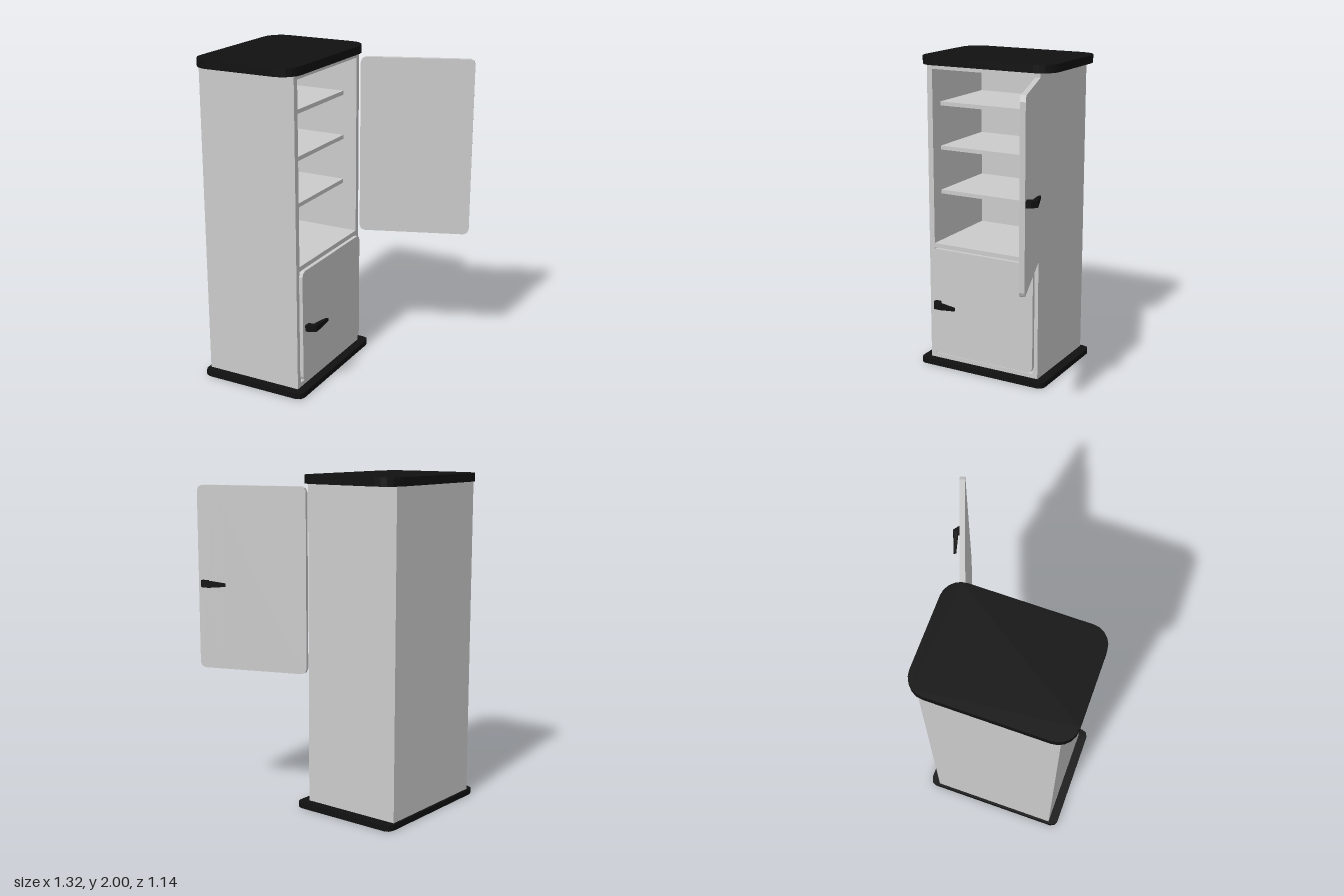
import * as THREE from 'three';

const grey = new THREE.MeshStandardMaterial({ color: 0xcccccc });
const light = new THREE.MeshStandardMaterial({ color: 0xe6e6e6 });
const black = new THREE.MeshStandardMaterial({ color: 0x111111 });

// Corner points of a rectangle whose corners are cut by n segments of radius r
function roundedRect(x0, y0, x1, y1, r, n) {
  const corners = [[x1 - r, y1 - r], [x0 + r, y1 - r], [x0 + r, y0 + r], [x1 - r, y0 + r]];
  return corners.flatMap(([cx, cy], q) => Array.from({ length: n + 1 }, (_, i) => {
    const a = (q + i / n) * Math.PI / 2;
    return new THREE.Vector2(cx + r * Math.cos(a), cy + r * Math.sin(a));
  }));
}

function extrude(points, depth, hole) {
  const shape = new THREE.Shape(points);
  if (hole) shape.holes.push(new THREE.Path(hole));
  return new THREE.ExtrudeGeometry(shape, { depth, bevelEnabled: false });
}

function add(parent, name, geometry, material) {
  const mesh = new THREE.Mesh(geometry, material);
  mesh.name = name;
  parent.add(mesh);
  return mesh;
}

// Box given by its minimum and maximum corners
function box(parent, name, [x0, y0, z0], [x1, y1, z1]) {
  const mesh = add(parent, name, new THREE.BoxGeometry(x1 - x0, y1 - y0, z1 - z0), grey);
  mesh.position.set((x0 + x1) / 2, (y0 + y1) / 2, (z0 + z1) / 2);
}

// Horizontal plate with rounded corners
function slab(parent, name, x0, z0, x1, z1, r, n, bottom, top) {
  const g = extrude(roundedRect(x0, z0, x1, z1, r, n), top - bottom);
  g.rotateX(Math.PI / 2);
  add(parent, name, g, black).position.y = top;
}

// Lever handle: a bent profile extruded vertically, thinner towards its tip
function handleGeometry() {
  const profile = [[0, 0], [0, 0.028], [-0.024, 0.064], [-0.07, 0.063], [-0.174, 0.061],
    [-0.17, 0.046], [-0.07, 0.037], [-0.045, 0.035], [-0.04, 0]];
  const g = extrude(profile.map(([s, d]) => new THREE.Vector2(s, d)), 0.038);
  g.translate(0, 0, -0.019);
  g.rotateX(-Math.PI / 2);
  const p = g.attributes.position;
  for (let i = 0; i < p.count; i++) if (p.getX(i) < -0.1) p.setY(i, p.getY(i) * 0.5);
  g.computeVertexNormals();
  return g;
}

// Door hinged at its local origin; local -z is the outer face
function door(name, width, height, [left, right, vertical], handleY) {
  const group = new THREE.Group();
  group.name = name;
  const inner = [left, vertical, width - right, height - vertical];
  const hole = roundedRect(...inner, 0.035, 2);
  add(group, name + 'Frame', extrude(roundedRect(0, 0, width, height, 0.032, 2), 0.031, hole), grey);
  add(group, name + 'Panel', extrude(roundedRect(...inner, 0.035, 2), 0.031), light);
  add(group, name + 'Handle', handleGeometry(), black).position.set(width - 0.026, handleY, 0);
  return group;
}

export function createModel() {
  const model = new THREE.Group();
  model.name = 'cabinet';

  // Top and base plates
  slab(model, 'topPlate', -0.66, -0.358, 0.012, 0.567, 0.115, 5, 1.95, 2);
  slab(model, 'basePlate', -0.655, -0.342, 0.045, 0.555, 0.04, 2, 0, 0.035);

  // Hollow body, open towards +x
  const back = -0.64, front = -0.01, zBack = -0.28, zFront = 0.5, zIn0 = -0.247, zIn1 = 0.463;
  box(model, 'frontWall', [back, 0.03, zIn1], [front, 1.955, zFront]);
  box(model, 'rearWall', [back, 0.03, zBack], [front, 1.955, zIn0]);
  box(model, 'innerWall', [back, 0.03, zIn0], [back + 0.03, 1.955, zIn1]);
  box(model, 'floor', [back + 0.03, 0.03, zIn0], [front, 0.063, zIn1]);
  box(model, 'ceiling', [back + 0.03, 1.925, zIn0], [front, 1.955, zIn1]);
  box(model, 'divider', [back + 0.03, 0.785, zIn0], [front, 0.815, zIn1]);

  // Shelves, set back from the opening
  for (const y of [1.122, 1.407, 1.687]) {
    box(model, 'shelf', [back + 0.03, y, zIn0], [front - 0.09, y + 0.025, zIn1]);
  }

  // Upper door swung open, lower door closed
  const upper = door('upperDoor', 0.689, 1.11, [0.07, 0.097, 0.07], 0.522);
  upper.position.set(0, 0.82, -0.29);
  upper.rotation.y = THREE.MathUtils.degToRad(20.5);
  const lower = door('lowerDoor', 0.725, 0.71, [0.085, 0.085, 0.075], 0.345);
  lower.position.set(0.013, 0.077, -0.255);
  lower.rotation.y = -Math.PI / 2;
  model.add(upper, lower);

  return model;
}
